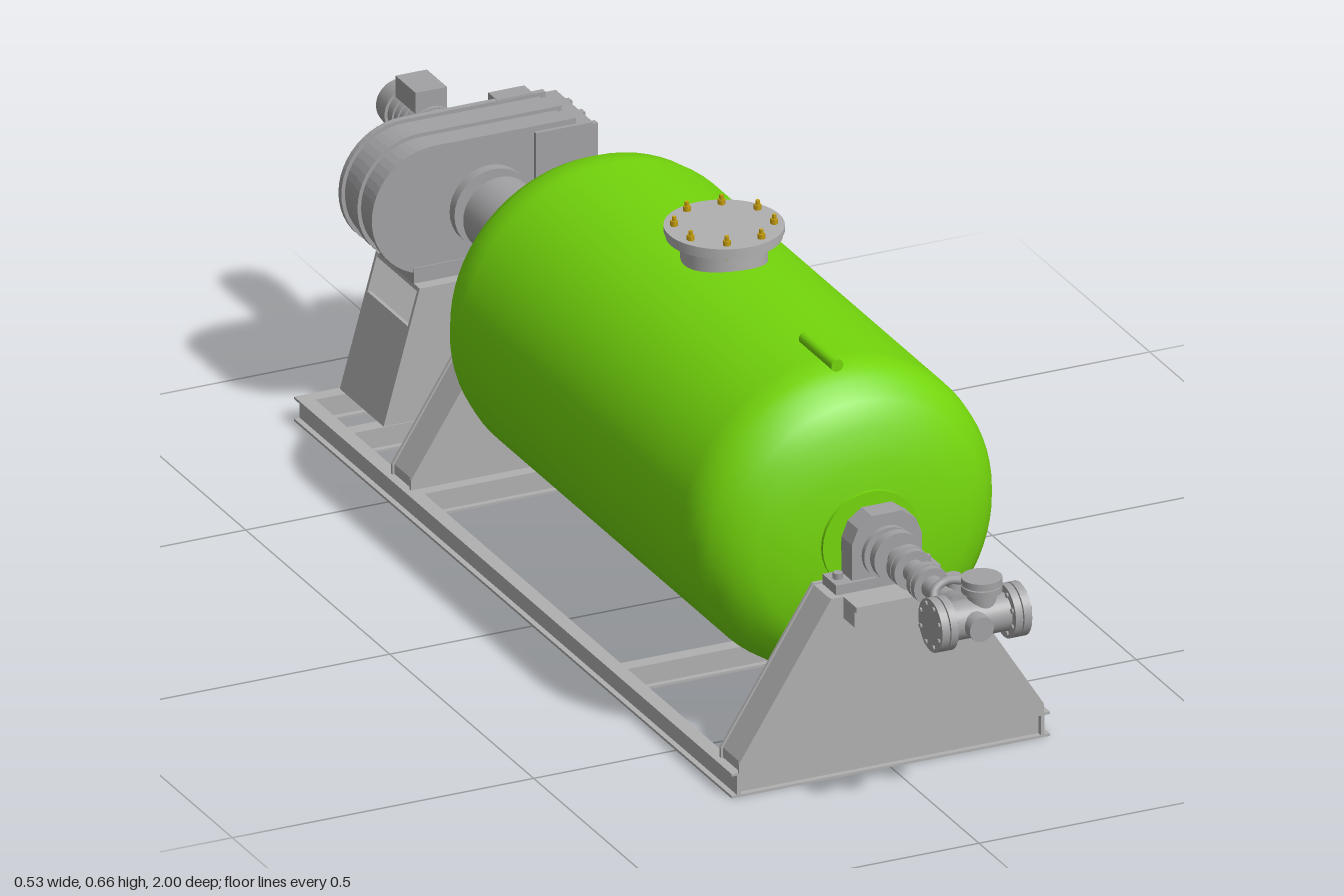
import * as THREE from 'three';

const mat = (name, color) => Object.assign(new THREE.MeshStandardMaterial({ color }), { name });

export function createModel() {
  const root = new THREE.Group();
  root.name = 'horizontalTank';
  const green = mat('tank green', 0x74d60c);
  const steel = mat('frame grey', 0xb0b0b0);
  const iron = mat('machine grey', 0xa2a2a4);
  const brass = mat('bolt yellow', 0xc8a010);
  const CY = 0.345; // height of the main axis

  const add = (name, geo, m, x = 0, y = 0, z = 0, parent = root) => {
    const mesh = new THREE.Mesh(geo, m);
    mesh.name = name;
    mesh.position.set(x, y, z);
    parent.add(mesh);
    return mesh;
  };
  // box from its minimum and maximum corners
  const box = (name, m, x0, x1, y0, y1, z0, z1) =>
    add(name, new THREE.BoxGeometry(x1 - x0, y1 - y0, z1 - z0), m, (x0 + x1) / 2, (y0 + y1) / 2, (z0 + z1) / 2);
  // cylinder from a to b along one axis; u and v are the other two coordinates in x, y, z order
  const cyl = (name, m, axis, r, a, b, u, v, seg = 32, r2 = r) => {
    const g = new THREE.CylinderGeometry(r2, r, b - a, seg);
    const c = (a + b) / 2;
    if (axis === 'z') return add(name, g.rotateX(Math.PI / 2), m, u, v, c);
    if (axis === 'x') return add(name, g.rotateZ(-Math.PI / 2), m, c, u, v);
    return add(name, g, m, u, c, v);
  };
  // outline in x, y pushed along z from z0 to z1
  const slab = (name, m, pts, z0, z1) => {
    const shape = new THREE.Shape(pts.map(p => new THREE.Vector2(...p)));
    return add(name, new THREE.ExtrudeGeometry(shape, { depth: z1 - z0, bevelEnabled: false }), m, 0, 0, z0);
  };
  // ring of bolt heads around an axis
  const boltRing = (name, m, axis, n, ring, r, a, b, u, v) => {
    for (let i = 0; i < n; i++) {
      const t = (i + 0.5) / n * Math.PI * 2;
      cyl(name, m, axis, r, a, b, u + ring * Math.cos(t), v + ring * Math.sin(t), 6);
    }
  };

  // Vessel with dished ends
  const profile = [[0, -0.427], [0.06, -0.424], [0.12, -0.416], [0.17, -0.402], [0.205, -0.382], [0.23, -0.355],
    [0.245, -0.325], [0.25, -0.295], [0.25, -0.28], [0.25, 0.49], [0.25, 0.505], [0.246, 0.53], [0.234, 0.555],
    [0.21, 0.582], [0.175, 0.602], [0.12, 0.615], [0.06, 0.621], [0, 0.623]];
  const tank = new THREE.LatheGeometry(profile.map(p => new THREE.Vector2(...p)), 72).rotateX(Math.PI / 2);
  add('tank', tank, green, 0, CY, 0);
  cyl('frontCollar', green, 'z', 0.08, 0.60, 0.625, 0, CY);
  cyl('frontJournal', green, 'z', 0.05, 0.62, 0.645, 0, CY);
  cyl('rearCollar', green, 'z', 0.08, -0.43, -0.40, 0, CY);
  cyl('rearJournal', green, 'z', 0.05, -0.445, -0.42, 0, CY);
  cyl('driveShaft', green, 'z', 0.022, -0.55, -0.42, 0, CY);
  cyl('topHandle', green, 'z', 0.01, 0.437, 0.55, -0.02, 0.605, 20);

  // Manhole with bolted lid
  const mx = 0.012, mz = 0.09;
  cyl('manholeNeck', steel, 'y', 0.066, 0.56, 0.628, mx, mz, 48);
  cyl('manholeFlange', steel, 'y', 0.088, 0.625, 0.633, mx, mz, 48);
  cyl('manholeLid', steel, 'y', 0.091, 0.634, 0.643, mx, mz, 48);
  boltRing('lidBolt', brass, 'y', 8, 0.075, 0.006, 0.643, 0.651, mx, mz);
  boltRing('lidStud', brass, 'y', 8, 0.075, 0.0035, 0.62, 0.658, mx, mz);

  // Base frame of I-beams
  const iBeam = (name, length, x, z, along) => {
    const w = 0.012, t = 0.003, f = 0.004, h = 0.04;
    const half = [[w, 0], [w, f], [t, f], [t, h - f], [w, h - f], [w, h]];
    const pts = [...half, ...half.map(([a, b]) => [-a, b]).reverse()];
    const g = new THREE.ExtrudeGeometry(new THREE.Shape(pts.map(p => new THREE.Vector2(...p))),
      { depth: length, bevelEnabled: false }).translate(0, 0, -length / 2);
    if (along === 'x') g.rotateY(Math.PI / 2);
    add(name, g, steel, x, 0, z);
  };
  for (const s of [-1, 1]) iBeam('sideBeam', 1.52, s * 0.252, -0.066, 'z');
  for (const z of [0.682, 0.612, 0.27, -0.435, -0.525, -0.68, -0.814]) iBeam('crossBeam', 0.5, 0, z, 'x');

  // Bearing stands and pillow blocks
  const standOutline = [[-0.253, 0.04], [0.253, 0.04], [0.253, 0.056], [0.1, 0.297], [-0.1, 0.297], [-0.253, 0.056]];
  const innerOutline = standOutline.map(([x, y]) => [x * 0.985, y > 0.2 ? y - 0.003 : y]);
  for (const [z0, z1] of [[0.628, 0.697], [-0.513, -0.443]]) {
    slab('standPlate', steel, standOutline, z0, z0 + 0.005);
    slab('standPlate', steel, standOutline, z1 - 0.005, z1);
    slab('standBody', steel, innerOutline, z0 + 0.005, z1 - 0.005);
    const c = (z0 + z1) / 2;
    box('bearingFoot', iron, -0.087, 0.087, 0.296, 0.312, c - 0.024, c + 0.024);
    const d = c - 0.018, e = c + 0.018;
    slab('bearingHousing', iron, [[-0.058, 0.31], [0.058, 0.31], [0.058, 0.37], [0.048, 0.395], [0.025, 0.412],
      [-0.025, 0.412], [-0.048, 0.395], [-0.058, 0.37]], d, e);
    cyl('bearingCap', iron, 'z', 0.042, c - 0.027, c + 0.027, 0, CY + 0.005);
    for (const s of [-1, 1]) cyl('footBolt', iron, 'y', 0.008, 0.31, 0.322, s * 0.073, c, 6);
  }
  box('frontBracket', steel, -0.08, 0.075, 0.262, 0.29, 0.695, 0.735);
  box('bracketLip', steel, -0.08, 0.075, 0.288, 0.297, 0.69, 0.742);
  box('bracketPost', iron, 0.05, 0.062, 0.29, 0.33, 0.715, 0.727);

  // Front pipework
  cyl('inletPipe', iron, 'z', 0.018, 0.64, 0.95, 0.005, 0.35);
  for (const [a, b, r] of [[0.695, 0.71, 0.04], [0.735, 0.748, 0.032], [0.75, 0.763, 0.032], [0.80, 0.812, 0.03], [0.815, 0.827, 0.03]])
    cyl('pipeFlange', iron, 'z', r, a, b, 0.005, 0.35);
  cyl('pipeValve', iron, 'y', 0.012, 0.35, 0.385, 0.02, 0.87, 20);
  cyl('pipeReducer', iron, 'z', 0.02, 0.89, 0.93, 0.005, 0.35, 32, 0.03);
  const pz = 0.953;
  cyl('crossPipe', iron, 'x', 0.03, -0.05, 0.085, 0.35, pz);
  for (const [a, b] of [[-0.058, -0.045], [-0.043, -0.031], [0.064, 0.076], [0.078, 0.091]])
    cyl('crossFlange', iron, 'x', 0.042, a, b, 0.35, pz);
  boltRing('crossFlangeBolt', iron, 'x', 8, 0.034, 0.004, -0.061, -0.028, 0.35, pz);
  boltRing('crossFlangeBolt', iron, 'x', 8, 0.034, 0.004, 0.061, 0.094, 0.35, pz);
  cyl('pipeEnd', iron, 'z', 0.02, 0.95, 1.0, 0.005, 0.35);
  cyl('teeNeck', iron, 'y', 0.022, 0.35, 0.40, 0.027, pz);
  cyl('teeCap', iron, 'y', 0.031, 0.403, 0.414, 0.027, pz);
  cyl('teeFlange', iron, 'y', 0.031, 0.391, 0.401, 0.027, pz);
  const hose = new THREE.CatmullRomCurve3([[-0.04, 0.37, 0.93], [-0.035, 0.39, 0.92], [-0.015, 0.402, 0.92], [0.02, 0.402, 0.94]]
    .map(p => new THREE.Vector3(...p)));
  add('bypassPipe', new THREE.TubeGeometry(hose, 16, 0.007, 10), iron);

  // Coupling and its support
  cyl('coupling', iron, 'z', 0.06, -0.655, -0.53, -0.005, 0.36, 40);
  cyl('couplingNeck', iron, 'z', 0.04, -0.71, -0.65, -0.005, 0.36);
  box('couplingSupport', steel, -0.07, 0.07, 0.205, 0.25, -0.68, -0.50);
  box('couplingSaddle', steel, -0.035, 0.035, 0.25, 0.31, -0.63, -0.55);

  // Drive pedestal: sloping plates with open upper sides
  const pedestal = [[-0.19, 0.04], [0.19, 0.04], [0.13, 0.255], [-0.13, 0.255]];
  slab('pedestalPlate', steel, pedestal, -0.676, -0.67);
  slab('pedestalPlate', steel, pedestal, -0.822, -0.816);
  box('pedestalTop', steel, -0.13, 0.13, 0.247, 0.255, -0.82, -0.672);
  for (const s of [-1, 1]) {
    const side = [[0.184, 0.04], [0.19, 0.04], [0.147, 0.194], [0.141, 0.194]].map(([x, y]) => [s * x, y]);
    slab('pedestalSide', steel, side, -0.82, -0.672);
  }

  // Gearbox, rounded at one end
  const gear = (name, r, x1, z0, z1) => {
    const pts = [[x1, 0.37 - r], [x1, 0.37 + r]];
    for (let i = 0; i <= 24; i++) {
      const t = Math.PI / 2 + i / 24 * Math.PI;
      pts.push([-0.095 + r * Math.cos(t), 0.37 + r * Math.sin(t)]);
    }
    slab(name, iron, pts, z0, z1);
  };
  gear('gearboxBody', 0.098, 0.13, -0.80, -0.70);
  for (const [a, b] of [[-0.758, -0.742], [-0.808, -0.798], [-0.702, -0.692]]) gear('gearboxRim', 0.104, 0.14, a, b);
  box('gearboxBlock', iron, 0.07, 0.165, 0.275, 0.465, -0.815, -0.685);
  for (const z of [-0.795, -0.75, -0.705]) box('gearboxRib', iron, 0.16, 0.18, 0.285, 0.455, z - 0.006, z + 0.006);
  box('gearboxFoot', iron, -0.13, 0.13, 0.254, 0.28, -0.81, -0.69);
  cyl('gearboxHub', iron, 'z', 0.065, -0.70, -0.675, -0.005, 0.36);
  cyl('gearboxCover', iron, 'z', 0.05, -0.818, -0.80, -0.1, 0.37);
  boltRing('coverBolt', iron, 'z', 8, 0.085, 0.006, -0.815, -0.80, -0.095, 0.37);
  box('gearboxLug', iron, 0.06, 0.12, 0.46, 0.475, -0.83, -0.80);

  // Motor with cooling rings and terminal box
  const ox = -0.008, oy = 0.405;
  cyl('motorFlange', iron, 'z', 0.056, -0.835, -0.805, ox, oy);
  cyl('motorBody', iron, 'z', 0.037, -0.975, -0.83, ox, oy);
  for (let i = 0; i < 6; i++) cyl('motorRing', iron, 'z', 0.04, -0.865 - i * 0.016, -0.859 - i * 0.016, ox, oy);
  cyl('motorFanCover', iron, 'z', 0.037, -1.0, -0.96, ox, oy, 32, 0.042);
  box('terminalBox', iron, ox - 0.026, ox + 0.026, 0.435, 0.47, -0.955, -0.885);
  return root;
}
